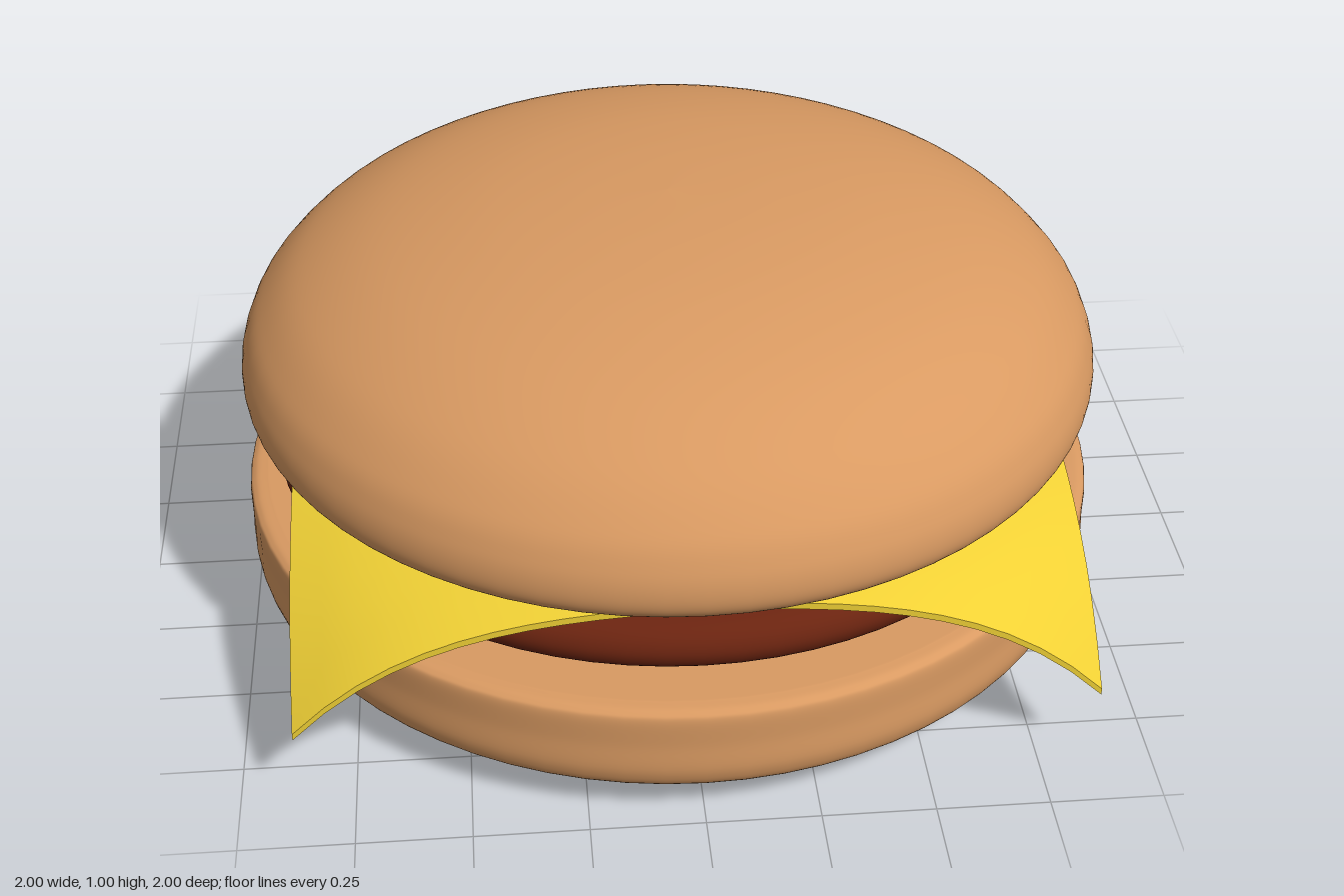
import * as THREE from 'three';

const bunMaterial = new THREE.MeshStandardMaterial({ color: 0xd99a62 });
const pattyMaterial = new THREE.MeshStandardMaterial({ color: 0x6b2410 });
const cheeseMaterial = new THREE.MeshStandardMaterial({ color: 0xf0d035 });

// Turns a smooth curve through [radius, height] points, listed bottom to top.
function turned(name, profile, material) {
  const curve = new THREE.SplineCurve(profile.map(([r, y]) => new THREE.Vector2(r, y)));
  const points = curve.getPoints(profile.length * 6);
  points.forEach((p) => { p.x = Math.max(p.x, 0); });
  const mesh = new THREE.Mesh(new THREE.LatheGeometry(points, 72), material);
  mesh.name = name;
  return mesh;
}

// Square slice whose corners droop with distance from the centre.
function cheeseSlice() {
  const geometry = new THREE.BoxGeometry(1.745, 0.016, 1.745, 24, 1, 24);
  const position = geometry.attributes.position;
  for (let i = 0; i < position.count; i++) {
    const r = Math.hypot(position.getX(i), position.getZ(i));
    const droop = 0.93 * Math.pow(Math.max(r - 0.5, 0), 3.4);
    position.setY(i, position.getY(i) + 0.52 - droop);
  }
  geometry.computeVertexNormals();
  const mesh = new THREE.Mesh(geometry, cheeseMaterial);
  mesh.name = 'cheeseSlice';
  return mesh;
}

export function createModel() {
  const model = new THREE.Group();
  model.name = 'cheeseburger';

  // Bottom bun: gently domed underside, straight wall, flat top
  model.add(turned('bottomBun', [
    [0, 0], [0.4, 0.006], [0.7, 0.022], [0.88, 0.05], [0.97, 0.088], [1, 0.14],
    [1, 0.22], [1, 0.285], [0.99, 0.303], [0.965, 0.31], [0.9, 0.311], [0.5, 0.311], [0, 0.311],
  ], bunMaterial));

  // Patty: flat disc with a rounded rim
  model.add(turned('patty', [
    [0, 0.318], [0.4, 0.319], [0.7, 0.326], [0.85, 0.339], [0.905, 0.36], [0.925, 0.4],
    [0.91, 0.44], [0.865, 0.463], [0.75, 0.478], [0.5, 0.488], [0, 0.49],
  ], pattyMaterial));

  model.add(cheeseSlice());

  // Top bun: flat base, tight lower edge, broad dome
  model.add(turned('topBun', [
    [0, 0.525], [0.5, 0.525], [0.88, 0.525], [0.945, 0.532], [0.98, 0.56], [0.99, 0.605],
    [0.978, 0.665], [0.94, 0.735], [0.845, 0.825], [0.685, 0.905], [0.47, 0.96], [0.24, 0.987], [0, 0.996],
  ], bunMaterial));

  return model;
}
